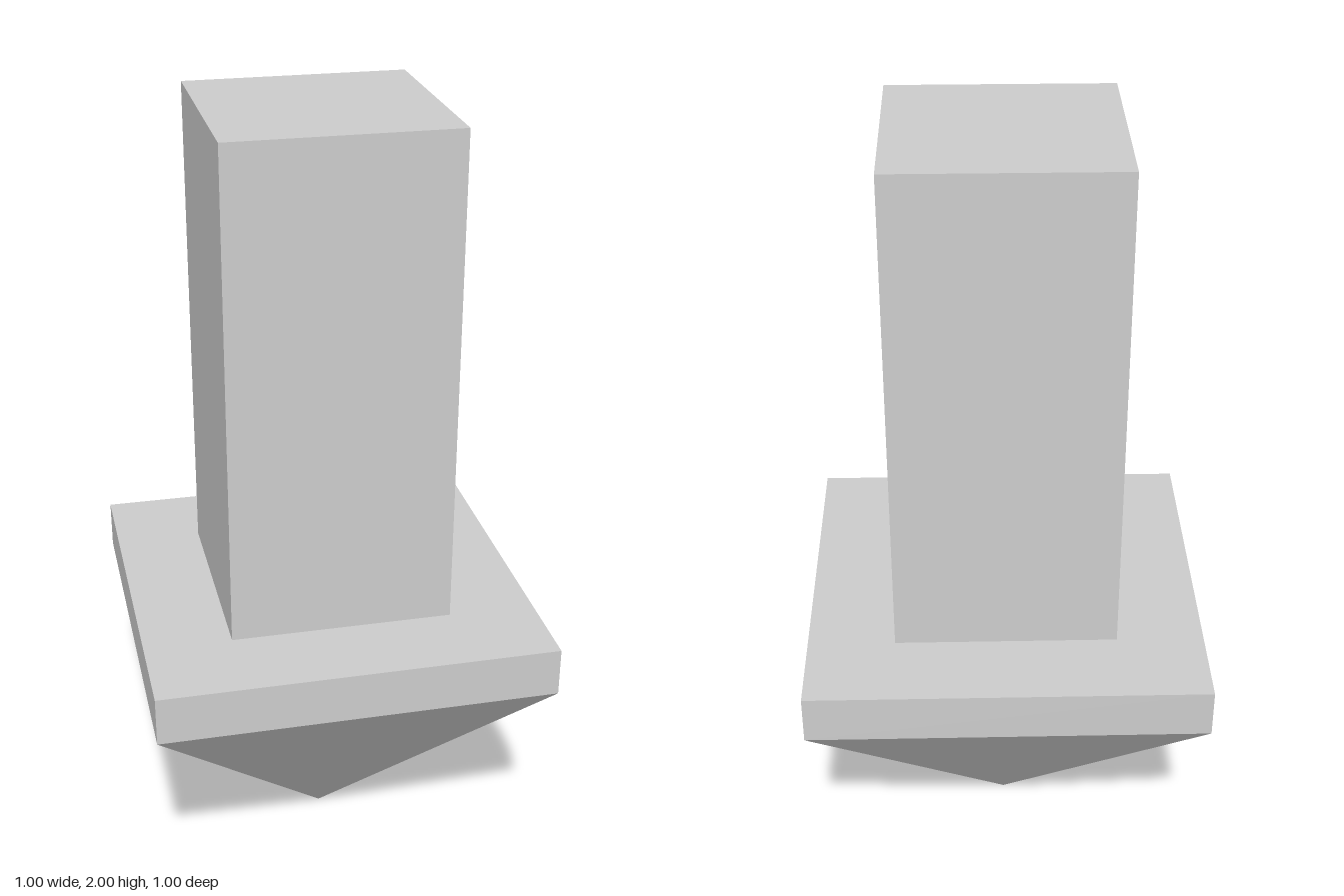
import * as THREE from 'three';

const SHAFT_WIDTH = 0.56;
const HEAD_WIDTH = 1;
const TIP_HEIGHT = 0.625;
const COLLAR_TOP = 0.75;
const TOP = 2;

export function createModel() {
  const group = new THREE.Group();
  group.name = 'downArrow';
  const material = new THREE.MeshStandardMaterial({ color: 0xcccccc, flatShading: true });

  const add = (name, geometry, y) => {
    const mesh = new THREE.Mesh(geometry, material);
    mesh.name = name;
    mesh.position.y = y;
    group.add(mesh);
  };

  // Square block standing between two heights
  const addBlock = (name, width, bottom, top) =>
    add(name, new THREE.BoxGeometry(width, top - bottom, width), (bottom + top) / 2);

  addBlock('shaft', SHAFT_WIDTH, COLLAR_TOP, TOP);
  addBlock('collar', HEAD_WIDTH, TIP_HEIGHT, COLLAR_TOP);

  // Inverted four-sided pyramid, its open base covered by the collar
  const tip = new THREE.ConeGeometry(HEAD_WIDTH * Math.SQRT1_2, TIP_HEIGHT, 4, 1, true, Math.PI / 4);
  tip.rotateX(Math.PI);
  add('tip', tip, TIP_HEIGHT / 2);

  return group;
}
